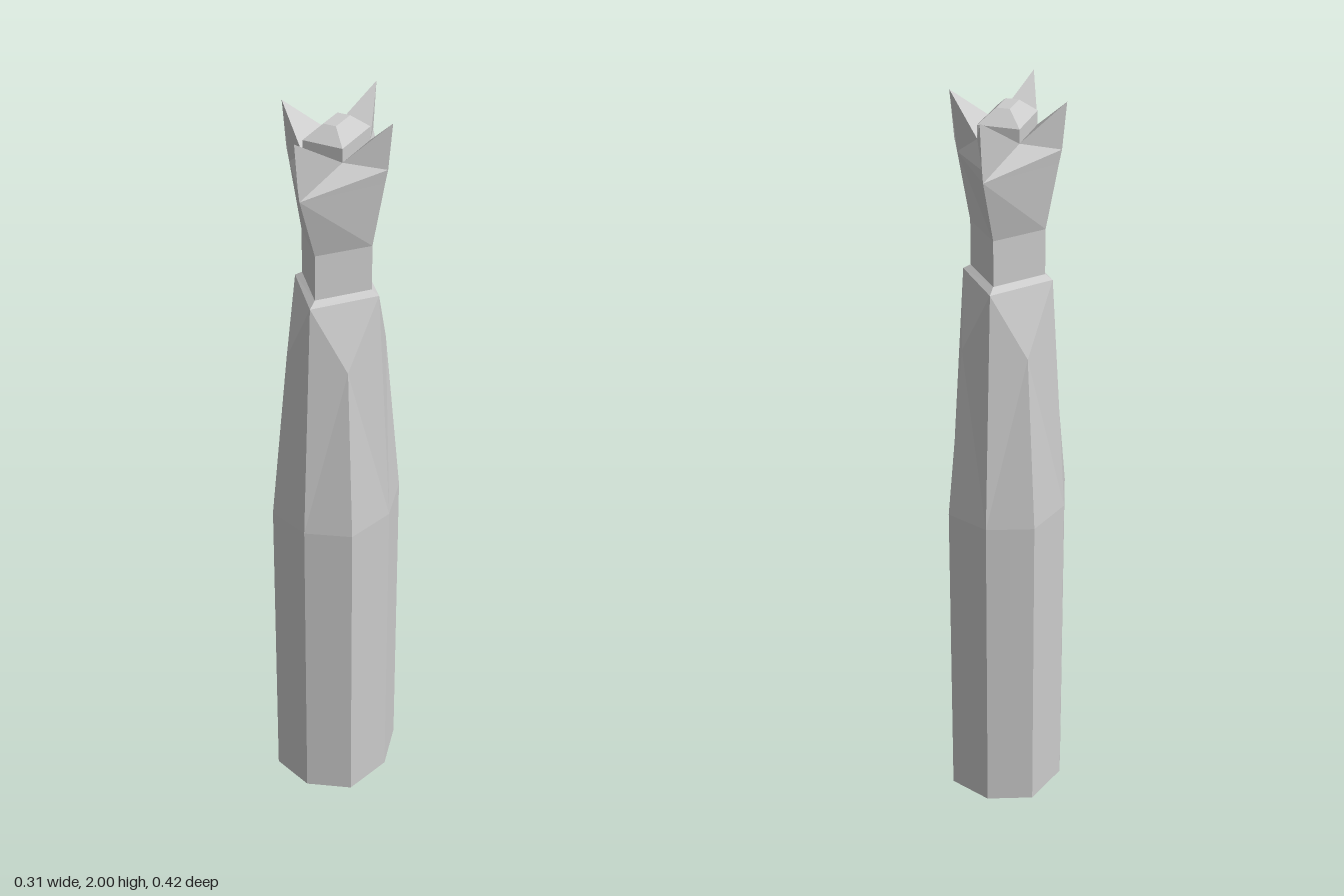
import * as THREE from 'three';

const AXIS = [[0, 1], [1, 0], [0, -1], [-1, 0]];
const DIAG = [[1, 1], [1, -1], [-1, -1], [-1, 1]];

// point k on an axis (front, left, back, right) or on the diagonal that follows it
const axisPt = (k, x, y, z) => [AXIS[k % 4][0] * x, y, AXIS[k % 4][1] * z];
const diagPt = (k, x, y, z) => [DIAG[k % 4][0] * x, y, DIAG[k % 4][1] * z];

// collects the triangles that each quarter of a part emits
function quarters(name, emit) {
  const pos = [];
  const fan = (...p) => {
    for (let i = 1; i < p.length - 1; i++) pos.push(...p[0], ...p[i], ...p[i + 1]);
  };
  for (let k = 0; k < 4; k++) emit(k, fan);
  const geo = new THREE.BufferGeometry();
  geo.setAttribute('position', new THREE.Float32BufferAttribute(pos, 3));
  geo.computeVertexNormals();
  const mesh = new THREE.Mesh(geo, new THREE.MeshStandardMaterial({ color: 0xcccccc, flatShading: true }));
  mesh.name = name;
  return mesh;
}

export function createModel() {
  const model = new THREE.Group();
  model.name = 'crownedPillar';

  // straight eight-sided base with a closed underside
  model.add(quarters('base', (k, fan) => {
    const a = (y, n) => axisPt(n, 0.157, y, 0.182);
    const d = (y) => diagPt(k, 0.118, y, 0.138);
    fan(a(0, k), d(0), d(0.89), a(0.89, k));
    fan(d(0), a(0, k + 1), a(0.89, k + 1), d(0.89));
    fan([0, 0, 0], a(0, k + 1), d(0), a(0, k));
  }));

  // taper from eight sides to a diamond, with a narrow ledge under the neck
  model.add(quarters('shoulder', (k, fan) => {
    const low = (n) => axisPt(n, 0.157, 0.89, 0.182);
    const rim = (n) => axisPt(n, 0.118, 1.537, 0.14);
    const ledge = (n) => axisPt(n, 0.098, 1.55, 0.115);
    const d0 = diagPt(k, 0.118, 0.89, 0.138);
    const d1 = diagPt(k, 0.087, 1.36, 0.105);
    fan(low(k), d0, d1, rim(k));
    fan(low(k + 1), rim(k + 1), d1, d0);
    fan(d1, rim(k + 1), rim(k));
    fan(rim(k), rim(k + 1), ledge(k + 1), ledge(k));
  }));

  // diamond-shaped neck
  model.add(quarters('neck', (k, fan) => {
    const p = (n, y) => axisPt(n, 0.098, y, 0.113);
    fan(p(k, 1.54), p(k + 1, 1.54), p(k + 1, 1.67), p(k, 1.67));
  }));

  // flared crown with four spikes and twisted facets
  model.add(quarters('crown', (k, fan) => {
    const neck = (n) => axisPt(n, 0.098, 1.67, 0.113);
    const low = (n) => axisPt(n, 0.13, 1.845, 0.186);
    const high = (n) => axisPt(n, 0.137, 1.88, 0.193);
    const tip = (n) => axisPt(n, 0.148, 2, 0.208);
    const notch = (n) => diagPt(n, 0.053, 1.91, 0.072);
    fan(neck(k), neck(k + 1), low(k));
    fan(low(k), neck(k + 1), low(k + 1), high(k + 1));
    fan(low(k), high(k + 1), notch(k));
    fan(low(k), notch(k), tip(k), high(k));
    fan(high(k + 1), tip(k + 1), notch(k));
    fan(tip(k + 1), notch(k + 1), notch(k)); // inner face of the spike
  }));

  // bevelled block in the middle of the crown
  model.add(quarters('crownBlock', (k, fan) => {
    const foot = (n) => diagPt(n, 0.053, 1.9, 0.072);
    const edge = (n) => diagPt(n, 0.053, 1.945, 0.072);
    const top = (n) => diagPt(n, 0.017, 1.98, 0.036);
    fan(foot(k), foot(k + 1), edge(k + 1), edge(k));
    fan(edge(k), edge(k + 1), top(k + 1), top(k));
    fan([0, 1.98, 0], top(k), top(k + 1));
  }));

  return model;
}
